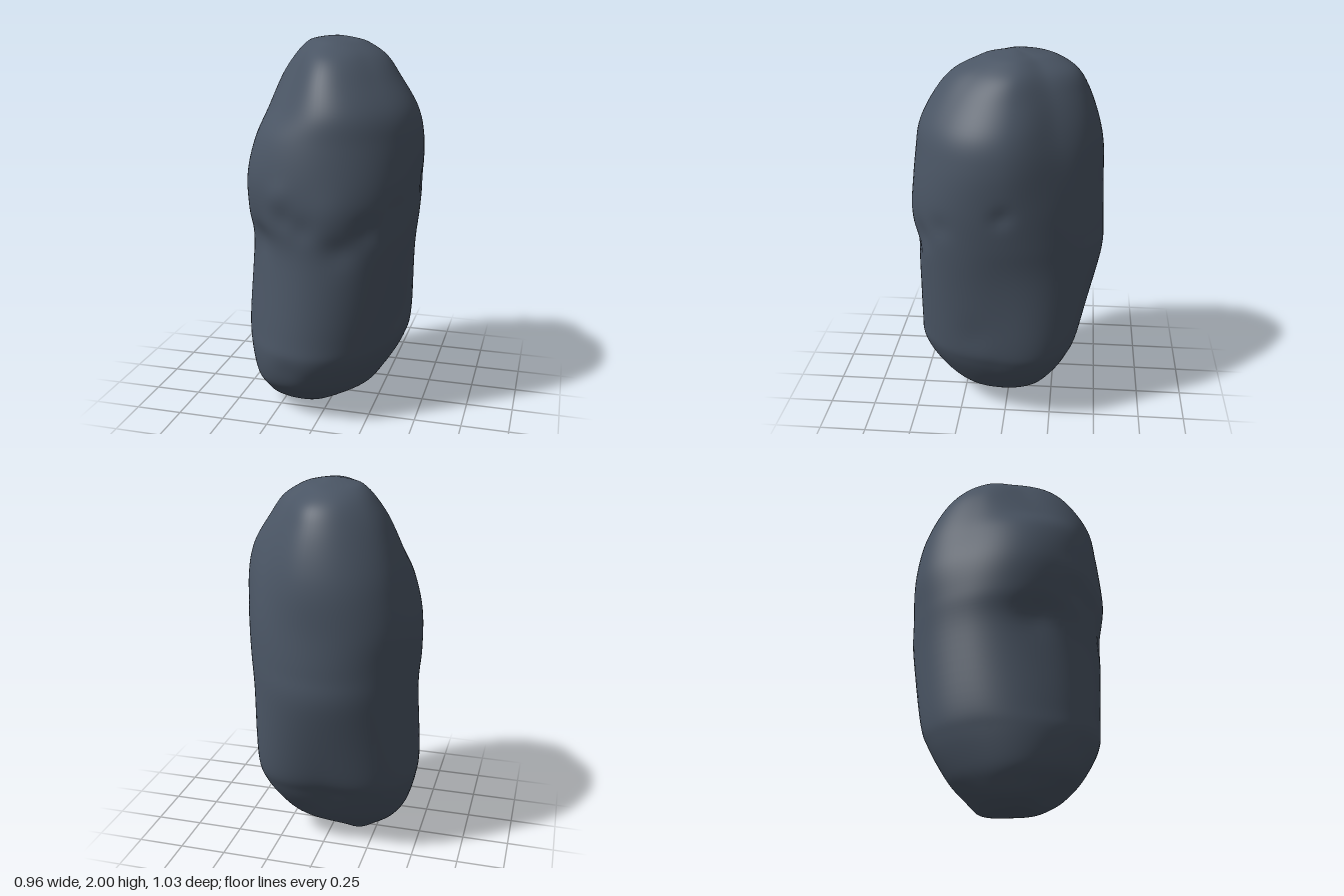
import * as THREE from 'three';

// Cross-sections: height, then reach from the axis towards
// +x, +x+z, +z, -x+z, -x, -x-z, -z, +x-z
const SECTIONS = [
  [0.02, -0.06, 0.08, 0.20, 0.28, 0.25, 0.16, 0.07, -0.05],
  [0.06, 0.04, 0.17, 0.27, 0.36, 0.33, 0.23, 0.13, 0.06],
  [0.12, 0.20, 0.255, 0.345, 0.415, 0.38, 0.30, 0.19, 0.21],
  [0.20, 0.27, 0.325, 0.425, 0.465, 0.42, 0.365, 0.25, 0.30],
  [0.35, 0.355, 0.41, 0.492, 0.49, 0.457, 0.445, 0.33, 0.405],
  [0.50, 0.40, 0.44, 0.495, 0.477, 0.475, 0.485, 0.40, 0.45],
  [0.90, 0.43, 0.485, 0.485, 0.435, 0.465, 0.515, 0.505, 0.468],
  [1.10, 0.455, 0.505, 0.505, 0.475, 0.475, 0.523, 0.51, 0.468],
  [1.30, 0.47, 0.512, 0.503, 0.49, 0.465, 0.528, 0.50, 0.455],
  [1.50, 0.47, 0.49, 0.48, 0.445, 0.415, 0.50, 0.49, 0.42],
  [1.65, 0.435, 0.45, 0.45, 0.35, 0.36, 0.455, 0.46, 0.375],
  [1.80, 0.34, 0.345, 0.37, 0.255, 0.295, 0.385, 0.41, 0.315],
  [1.90, 0.265, 0.25, 0.28, 0.19, 0.23, 0.315, 0.35, 0.255],
  [1.96, 0.175, 0.155, 0.16, 0.125, 0.175, 0.24, 0.255, 0.18],
  [1.985, 0.11, 0.085, 0.09, 0.07, 0.12, 0.155, 0.16, 0.11],
];
const BOTTOM = new THREE.Vector3(-0.16, 0, 0.08);
const TOP = new THREE.Vector3(0, 2, -0.03);

// Dents and bulges: x, y, z, spread, push outwards
const MARKS = [
  [-0.34, 0.98, 0.34, 0.10, -0.015],
  [-0.15, 1.12, 0.47, 0.07, -0.01],
  [-0.05, 1.08, 0.50, 0.07, -0.015],
  [0.14, 0.98, 0.47, 0.08, -0.014],
  [0.26, 1.08, 0.42, 0.08, -0.016],
  [0.37, 1.18, 0.30, 0.06, -0.01],
  [-0.18, 1.24, 0.46, 0.07, 0.01],
  [0.10, 1.18, 0.50, 0.10, 0.008],
  [0.47, 1.27, 0.00, 0.05, -0.012],
  [0.40, 0.55, 0.15, 0.10, -0.008],
  [-0.15, 0.30, 0.47, 0.08, -0.008],
  [0.10, 0.20, -0.25, 0.07, -0.012],
];

// Smooth curve through b and c
const blend = (a, b, c, d, t) =>
  b + 0.5 * t * (c - a + t * (2 * a - 5 * b + 4 * c - d + t * (3 * (b - c) + d - a)));

// Eight control points of one cross-section, measured from its own middle
function ring([y, ...reach]) {
  const cx = (reach[0] - reach[4]) / 2, cz = (reach[2] - reach[6]) / 2;
  return reach.map((h, k) => {
    const c = Math.cos(k * Math.PI / 4), s = Math.sin(k * Math.PI / 4);
    const r = Math.max(0.02, h - cx * c - cz * s);
    return { y, cx, cz, r };
  });
}

const pole = (p) => Array.from({ length: 8 }, () => ({ y: p.y, cx: p.x, cz: p.z, r: 0 }));
// Carrying the surface over a pole makes the reach negative on the far side
const overPole = (rg) => rg.map((_, k) => ({ ...rg[(k + 4) % 8], r: -rg[(k + 4) % 8].r }));

function rockGeometry(around = 96, steps = 7) {
  const inner = SECTIONS.map(ring);
  const rings = [overPole(inner[0]), pole(BOTTOM), ...inner, pole(TOP), overPole(inner[inner.length - 1])];
  const positions = [], index = [];

  const surface = (level, i) => {
    const j = Math.floor(level), t = level - j;
    const u = i / around * 8, k = Math.floor(u), f = u - k;
    const along = (key, q) => blend(...[0, 1, 2, 3].map((n) => rings[j - 1 + n][(q + 8) % 8][key]), t);
    const r = blend(along('r', k - 1), along('r', k), along('r', k + 1), along('r', k + 2), f);
    const a = i / around * Math.PI * 2, c = Math.cos(a), s = Math.sin(a);
    const p = new THREE.Vector3(along('cx', 0) + r * c, along('y', 0), along('cz', 0) + r * s);
    let push = 0;
    for (const [x, y, z, spread, depth] of MARKS) {
      const d2 = (p.x - x) ** 2 + (p.y - y) ** 2 + (p.z - z) ** 2;
      push += depth * Math.exp(-d2 / (spread * spread));
    }
    return p.set(p.x + push * c, p.y, p.z + push * s);
  };

  positions.push(...BOTTOM.toArray());
  const loops = (SECTIONS.length + 1) * steps - 1;
  for (let l = 1; l <= loops; l++) {
    for (let i = 0; i < around; i++) positions.push(...surface(1 + l / steps, i).toArray());
  }
  positions.push(...TOP.toArray());
  const last = loops * around + 1;

  const at = (l, i) => 1 + l * around + i % around;
  for (let i = 0; i < around; i++) {
    index.push(0, at(0, i), at(0, i + 1));
    index.push(last, at(loops - 1, i + 1), at(loops - 1, i));
    for (let l = 0; l < loops - 1; l++) {
      index.push(at(l, i), at(l + 1, i), at(l, i + 1));
      index.push(at(l, i + 1), at(l + 1, i), at(l + 1, i + 1));
    }
  }
  const g = new THREE.BufferGeometry();
  g.setAttribute('position', new THREE.Float32BufferAttribute(positions, 3));
  g.setIndex(index);
  g.computeVertexNormals();
  return g;
}

export function createModel() {
  const group = new THREE.Group();
  group.name = 'boulder';
  const stone = new THREE.MeshStandardMaterial({ color: 0x4a5564 });
  stone.name = 'slate stone';
  const rock = new THREE.Mesh(rockGeometry(), stone);
  rock.name = 'rock';
  group.add(rock);
  return group;
}
